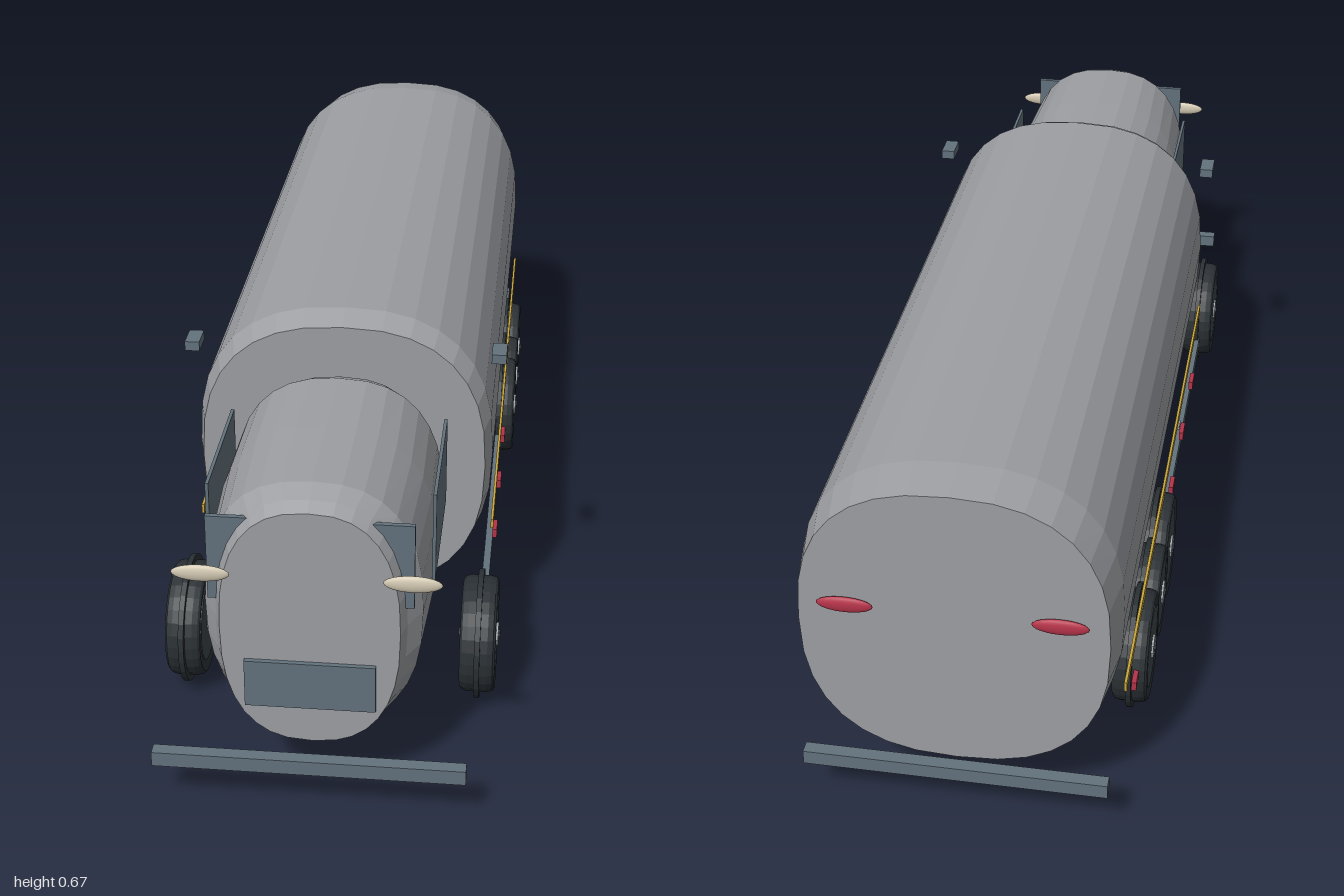
import * as THREE from 'three';

const mat = (name, color, flat = false) => {
  const m = new THREE.MeshStandardMaterial({ color, flatShading: flat });
  m.name = name;
  return m;
};

// Closed hull through rounded sections [z, halfWidth, bottom, top], ordered back to front
function loft(sections, sides = 32, power = 2.5) {
  const pos = [], index = [], n = sections.length;
  const curve = (v) => Math.sign(v) * Math.abs(v) ** (2 / power);
  for (const [z, hw, y0, y1] of sections) {
    for (let j = 0; j < sides; j++) {
      const a = (j / sides) * Math.PI * 2;
      pos.push(hw * curve(Math.cos(a)), (y0 + y1) / 2 + ((y1 - y0) / 2) * curve(Math.sin(a)), z);
    }
  }
  for (const [z, , y0, y1] of [sections[0], sections[n - 1]]) pos.push(0, (y0 + y1) / 2, z);
  for (let j = 0; j < sides; j++) {
    const k = (j + 1) % sides;
    for (let i = 0; i < n - 1; i++) {
      const p = i * sides, q = p + sides;
      index.push(p + j, p + k, q + k, p + j, q + k, q + j);
    }
    const last = (n - 1) * sides;
    index.push(n * sides, k, j, n * sides + 1, last + j, last + k);
  }
  const g = new THREE.BufferGeometry();
  g.setAttribute('position', new THREE.Float32BufferAttribute(pos, 3));
  g.setIndex(index);
  const flat = g.toNonIndexed();
  flat.computeVertexNormals();
  return flat;
}

export function createModel() {
  const model = new THREE.Group();
  model.name = 'tankerTruck';
  const silver = mat('bodySilver', 0x9c9ea2, true);
  const slate = mat('slateTrim', 0x63727d);
  const rubber = mat('tyreRubber', 0x2b3135, true);
  const rimDark = mat('rimDark', 0x3b4349, true);
  const hubGrey = mat('hubGrey', 0x9ba1a4, true);
  const yellow = mat('stripeYellow', 0xc9a63c);
  const red = mat('lightRed', 0xb5344a);
  const cream = mat('lampCream', 0xd2c8b2);

  const add = (parent, name, geometry, material, x = 0, y = 0, z = 0) => {
    const m = new THREE.Mesh(geometry, material);
    m.name = name;
    m.position.set(x, y, z);
    parent.add(m);
    return m;
  };
  const box = (name, material, w, h, d, x, y, z) =>
    add(model, name, new THREE.BoxGeometry(w, h, d), material, x, y, z);
  const lamp = (name, material, x, y, z, depth) =>
    add(model, name, new THREE.SphereGeometry(1, 20, 12), material, x, y, z).scale.set(0.048, 0.015, depth);

  // Tank and cab shells
  add(model, 'tank', loft([
    [-0.97, 0.262, 0.115, 0.663], [-0.89, 0.275, 0.11, 0.675],
    [0.4, 0.275, 0.11, 0.675], [0.445, 0.263, 0.112, 0.655],
  ]), silver);
  add(model, 'cab', loft([
    [0.472, 0.17, 0.125, 0.57], [0.515, 0.19, 0.117, 0.588], [0.7, 0.193, 0.115, 0.588],
    [0.89, 0.183, 0.116, 0.587], [0.925, 0.16, 0.117, 0.573], [0.948, 0.15, 0.118, 0.56],
  ]), silver);

  // Cab front panels and bumpers
  box('windshield', slate, 0.342, 0.155, 0.009, 0, 0.458, 0.925);
  box('grille', slate, 0.22, 0.088, 0.009, 0, 0.233, 0.952);
  box('frontBumper', slate, 0.53, 0.027, 0.024, 0, 0.098, 0.988);
  box('rearBumper', slate, 0.53, 0.027, 0.024, 0, 0.101, -0.988);

  // Wheel: tyre with centre ridge, rim steps and hub on both faces
  function wheel(name, r, x, z) {
    const g = new THREE.Group();
    g.name = name;
    g.position.set(x, 0.122, z);
    g.rotation.z = -Math.PI / 2;
    const disc = (part, radius, width, material, sides = 28) =>
      add(g, part, new THREE.CylinderGeometry(radius, radius, width, sides), material);
    const profile = [[0, -0.029], [0.72, -0.029], [0.84, -0.032], [0.88, -0.028], [0.905, -0.018],
      [0.905, 0.018], [0.88, 0.028], [0.84, 0.032], [0.72, 0.029], [0, 0.029]]
      .map(([k, y]) => new THREE.Vector2(k * r, y));
    add(g, 'tyre', new THREE.LatheGeometry(profile, 28), rubber);
    disc('treadRidge', r, 0.01, rubber);
    disc('rim', r * 0.66, 0.062, rimDark);
    disc('hub', 0.022, 0.07, hubGrey, 10);
    disc('hubCap', 0.009, 0.076, rimDark, 8);
    model.add(g);
  }

  for (const s of [1, -1]) {
    const side = s > 0 ? 'left' : 'right';
    wheel(side + 'FrontWheel', 0.118, s * 0.267, 0.6);
    wheel(side + 'RearWheel1', 0.115, s * 0.267, -0.33);
    wheel(side + 'RearWheel2', 0.1, s * 0.267, -0.475);
    wheel(side + 'RearWheel3', 0.115, s * 0.267, -0.635);

    box(side + 'SideWindow', slate, 0.006, 0.165, 0.275, s * 0.193, 0.433, 0.652);
    box(side + 'Stripe', yellow, 0.005, 0.019, 1.285, s * 0.278, 0.237, -0.242);
    box(side + 'ChassisRail', slate, 0.014, 0.024, 0.9, s * 0.268, 0.09, 0.15);
    box(side + 'Mirror', slate, 0.027, 0.018, 0.052, s * 0.282, 0.592, 0.393);
    lamp(side + 'Headlight', cream, s * 0.172, 0.459, 0.98, 0.007);
    lamp(side + 'TailLight', red, s * 0.18, 0.43, -0.976, 0.007);

    // Side markers and small latch
    for (const z of [0.25, 0.05, -0.15, -0.75]) {
      box(side + 'SideMarker', red, 0.009, 0.018, 0.04, s * 0.28, 0.138, z);
    }
    box(side + 'Latch', hubGrey, 0.006, 0.007, 0.025, s * 0.276, 0.185, 0.003);
  }
  return model;
}
